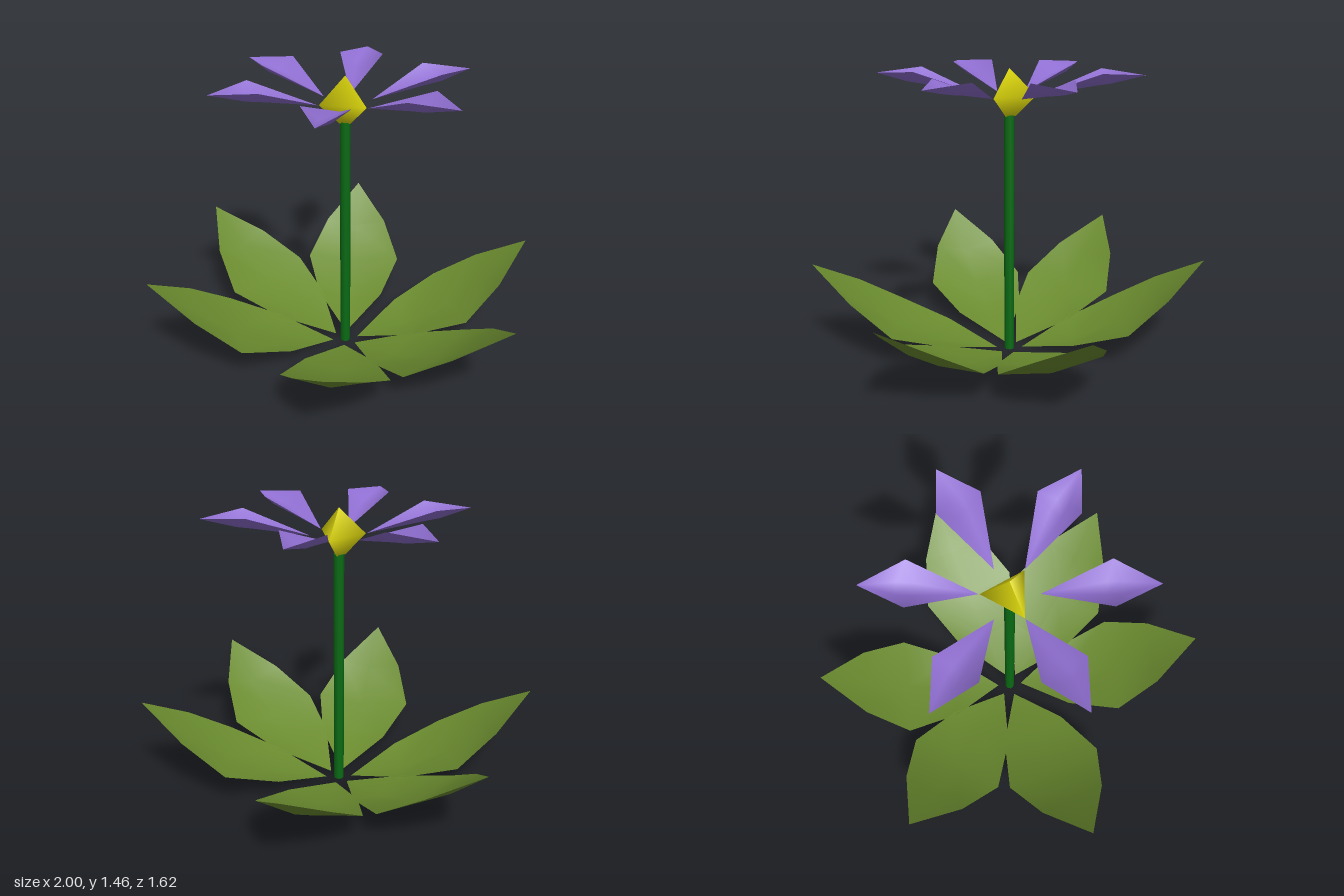
import * as THREE from 'three';
import { mergeVertices } from 'three/addons/utils/BufferGeometryUtils.js';

const material = (name, color, side = THREE.FrontSide) => {
  const m = new THREE.MeshStandardMaterial({ color, side });
  m.name = name;
  return m;
};

// Smooth open sheet through rows of [x, y, z] points; x runs outward, z across
function sheet(rows) {
  const n = rows[0].length;
  const index = [];
  for (let r = 0; r < rows.length - 1; r++) {
    for (let i = 0; i < n - 1; i++) {
      const a = r * n + i, b = a + 1, c = a + n, d = c + 1;
      index.push(a, b, c, b, d, c);
    }
  }
  const geometry = new THREE.BufferGeometry();
  geometry.setAttribute('position', new THREE.Float32BufferAttribute(rows.flat(2), 3));
  geometry.setIndex(index);
  const merged = mergeVertices(geometry);
  merged.computeVertexNormals();
  return merged;
}

export function createModel() {
  const model = new THREE.Group();
  model.name = 'flower';
  const leafGreen = material('leaf green', 0x6b8c2f, THREE.DoubleSide);
  const stemGreen = material('stem green', 0x0a6b14);
  const petalPurple = material('petal purple', 0x906fd2, THREE.DoubleSide);
  const centreYellow = material('centre yellow', 0xe0da0c);

  const add = (name, geometry, mat) => {
    const mesh = new THREE.Mesh(geometry, mat);
    mesh.name = name;
    model.add(mesh);
    return mesh;
  };

  // Stem
  add('stem', new THREE.CylinderGeometry(0.026, 0.026, 1.235, 8).translate(0, 0.6175, 0), stemGreen);

  // Three-sided flower centre
  const profile = [[0, 1.23], [0.03, 1.23], [0.13, 1.33], [0, 1.46]].map(p => new THREE.Vector2(...p));
  add('flowerCentre', new THREE.LatheGeometry(profile, 3, Math.PI / 2), centreYellow);

  // Leaves: distance out, half width, midrib height, edge height
  const leaf = sheet([
    [0.065, 0, 0.003, 0.003],
    [0.32, 0.175, 0.045, 0.09],
    [0.58, 0.26, 0.14, 0.18],
    [0.79, 0.17, 0.285, 0.325],
    [1, 0, 0.477, 0.477],
  ].map(([x, w, mid, edge]) => [[x, edge, -w], [x, mid, 0], [x, edge, w]]));
  for (const degrees of [0, 54, 126, 180, 234, 306]) {
    add('leaf', leaf, leafGreen).rotation.y = THREE.MathUtils.degToRad(degrees);
  }

  // Petals: cupped kites with a small flat floor
  const across = (wingX, wingY, floorX, floorY, wing, floor) => [
    [wingX, wingY, -wing], [floorX, floorY, -floor], [floorX, floorY, floor], [wingX, wingY, wing],
  ];
  const petal = sheet([
    across(0.135, 1.33, 0.135, 1.33, 0, 0),
    across(0.44, 1.45, 0.41, 1.385, 0.11, 0.03),
    across(0.44, 1.45, 0.48, 1.395, 0.11, 0.03),
    across(0.645, 1.432, 0.645, 1.432, 0, 0),
  ]);
  for (let i = 0; i < 6; i++) add('petal', petal, petalPurple).rotation.y = i * Math.PI / 3;

  return model;
}
